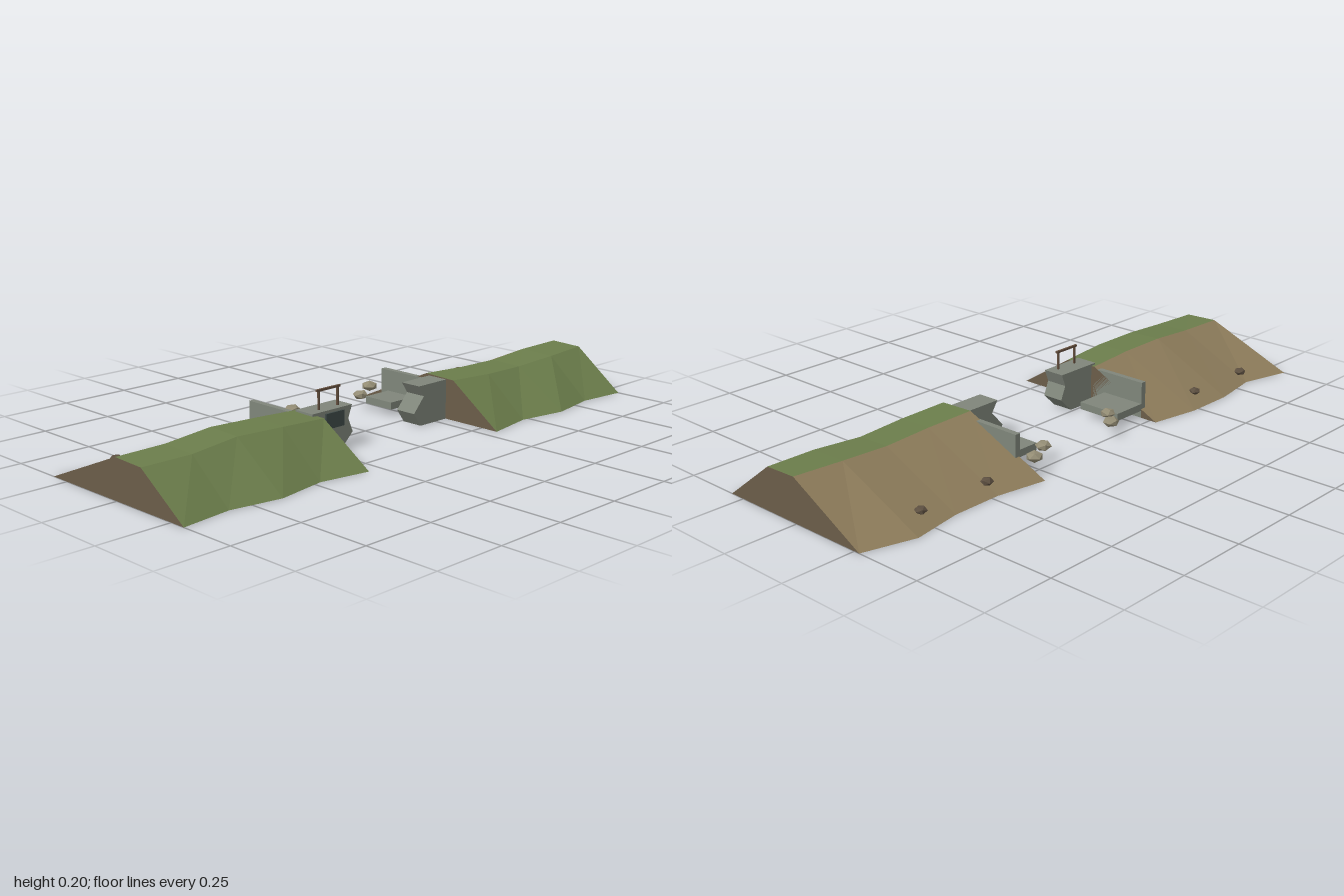
import * as THREE from 'three';

const mat = (color) => new THREE.MeshStandardMaterial({ color, flatShading: true });
const grass = mat(0x6b7d4b), soil = mat(0x8c7b5a), earth = mat(0x6b5d49);
const concrete = mat(0x7f857a), iron = mat(0x65503f), gateMat = mat(0x3f4a48);
const rubbleMat = mat(0x938c74), stoneMat = mat(0x5c4f40);

function add(parent, name, geometry, material, x = 0, y = 0, z = 0) {
  const mesh = new THREE.Mesh(geometry, material);
  mesh.name = name;
  mesh.position.set(x, y, z);
  parent.add(mesh);
  return mesh;
}

// Box given by its minimum and maximum corners
function block(parent, name, material, [x0, y0, z0], [x1, y1, z1]) {
  return add(parent, name, new THREE.BoxGeometry(x1 - x0, y1 - y0, z1 - z0), material,
    (x0 + x1) / 2, (y0 + y1) / 2, (z0 + z1) / 2);
}

function triangles(points) {
  const geometry = new THREE.BufferGeometry().setFromPoints(points);
  geometry.computeVertexNormals();
  return geometry;
}

// Surface between two rows of points that both run along +x
function strip(a, b) {
  const points = [];
  for (let i = 0; i < a.length - 1; i++) {
    points.push(a[i], a[i + 1], b[i + 1], a[i], b[i + 1], b[i]);
  }
  return triangles(points);
}

// Earth bank lofted through trapezoid sections
function makeBank(name, x0, front, back, height, crestFront, crestBack) {
  const bank = new THREE.Group();
  bank.name = name;
  const row = (zs, ys) => zs.map((z, i) => new THREE.Vector3(x0 + i * 0.175, ys ? ys[i] : 0, z));
  const rows = [
    row(front),
    row(crestFront, height.map((h) => h - 0.004)),
    row(crestBack, height),
    row(back),
  ];
  add(bank, 'grassSlope', strip(rows[0], rows[1]), grass);
  add(bank, 'grassCrest', strip(rows[1], rows[2]), grass);
  add(bank, 'soilSlope', strip(rows[2], rows[3]), soil);
  add(bank, 'underside', strip(rows[3], rows[0]), earth);
  const [a, b, c, d] = rows.map((r) => r[0]);
  const [e, f, g, h] = rows.map((r) => r[4]);
  add(bank, 'earthEnds', triangles([a, b, c, a, c, d, e, h, g, e, g, f]), earth);
  return bank;
}

// Pier with a broken edge, as an extruded outline
function pier(parent, outline, z0, z1) {
  const shape = new THREE.Shape(outline.map(([x, y]) => new THREE.Vector2(x, y)));
  const geometry = new THREE.ExtrudeGeometry(shape, { depth: z1 - z0, bevelEnabled: false });
  add(parent, 'brokenPier', geometry, concrete, 0, 0, z0);
}

function rock(parent, name, material, [x, y, z], radius, turn) {
  const mesh = add(parent, name, new THREE.IcosahedronGeometry(radius, 0), material, x, y, z);
  mesh.scale.y = 0.62;
  mesh.rotation.y = turn;
}

export function createModel() {
  const model = new THREE.Group();
  model.name = 'breachedDam';

  // Banks on either side of the breach
  model.add(makeBank('rightBank', -1,
    [0.305, 0.285, 0.315, 0.285, 0.315], [-0.32, -0.275, -0.305, -0.305, -0.275],
    [0.132, 0.134, 0.147, 0.142, 0.132],
    [0.12, 0.128, 0.118, 0.125, 0.118], [0.0, 0.002, -0.005, 0.0, -0.003]));
  model.add(makeBank('leftBank', 0.3,
    [0.315, 0.285, 0.315, 0.285, 0.305], [-0.32, -0.29, -0.29, -0.32, -0.27],
    [0.144, 0.137, 0.132, 0.142, 0.147],
    [0.12, 0.128, 0.12, 0.128, 0.12], [-0.003, 0.005, 0.0, -0.005, 0.003]));

  // Concrete remains: piers, wing walls and apron slabs
  const ruins = new THREE.Group();
  ruins.name = 'concreteRuins';
  model.add(ruins);
  pier(ruins, [[-0.32, 0], [-0.195, 0], [-0.145, 0.048], [-0.165, 0.095], [-0.148, 0.138], [-0.32, 0.138]], 0.01, 0.088);
  pier(ruins, [[0.32, 0], [0.32, 0.138], [0.165, 0.138], [0.19, 0.1], [0.142, 0.047], [0.175, 0]], 0.01, 0.088);
  block(ruins, 'wingWall', concrete, [-0.32, 0, -0.212], [-0.3, 0.125, 0]);
  block(ruins, 'wingWall', concrete, [0.295, 0, -0.212], [0.315, 0.125, 0]);
  block(ruins, 'apronSlab', concrete, [-0.3, 0.025, -0.212], [-0.175, 0.05, -0.05]);
  block(ruins, 'apronSlab', concrete, [0.185, 0.025, -0.18], [0.295, 0.05, -0.06]);

  // Sluice gate and its lifting frame
  const gate = new THREE.Group();
  gate.name = 'sluiceGate';
  model.add(gate);
  block(gate, 'gatePanel', gateMat, [-0.266, 0.078, 0.08], [-0.188, 0.129, 0.094]);
  for (const x of [-0.268, -0.186]) {
    block(gate, 'framePost', iron, [x - 0.003, 0.135, 0.058], [x + 0.003, 0.2, 0.064]);
  }
  block(gate, 'frameBeam', iron, [-0.278, 0.197, 0.057], [-0.176, 0.204, 0.065]);

  // Loose rubble in the breach
  const rubble = [[-0.11, 0.05, -0.238, 0.028], [-0.165, 0.048, -0.178, 0.026],
    [0.187, 0.05, -0.21, 0.028], [0.28, 0.056, -0.258, 0.029]];
  rubble.forEach(([x, y, z, r], i) => rock(model, 'rubble', rubbleMat, [x, y, z], r, i * 1.3));

  // Stones resting on the soil slopes
  [-0.825, -0.555, 0.475, 0.745].forEach((x, i) =>
    rock(model, 'slopeStone', stoneMat, [x, 0.034, -0.245], 0.021, i * 0.9));

  return model;
}
